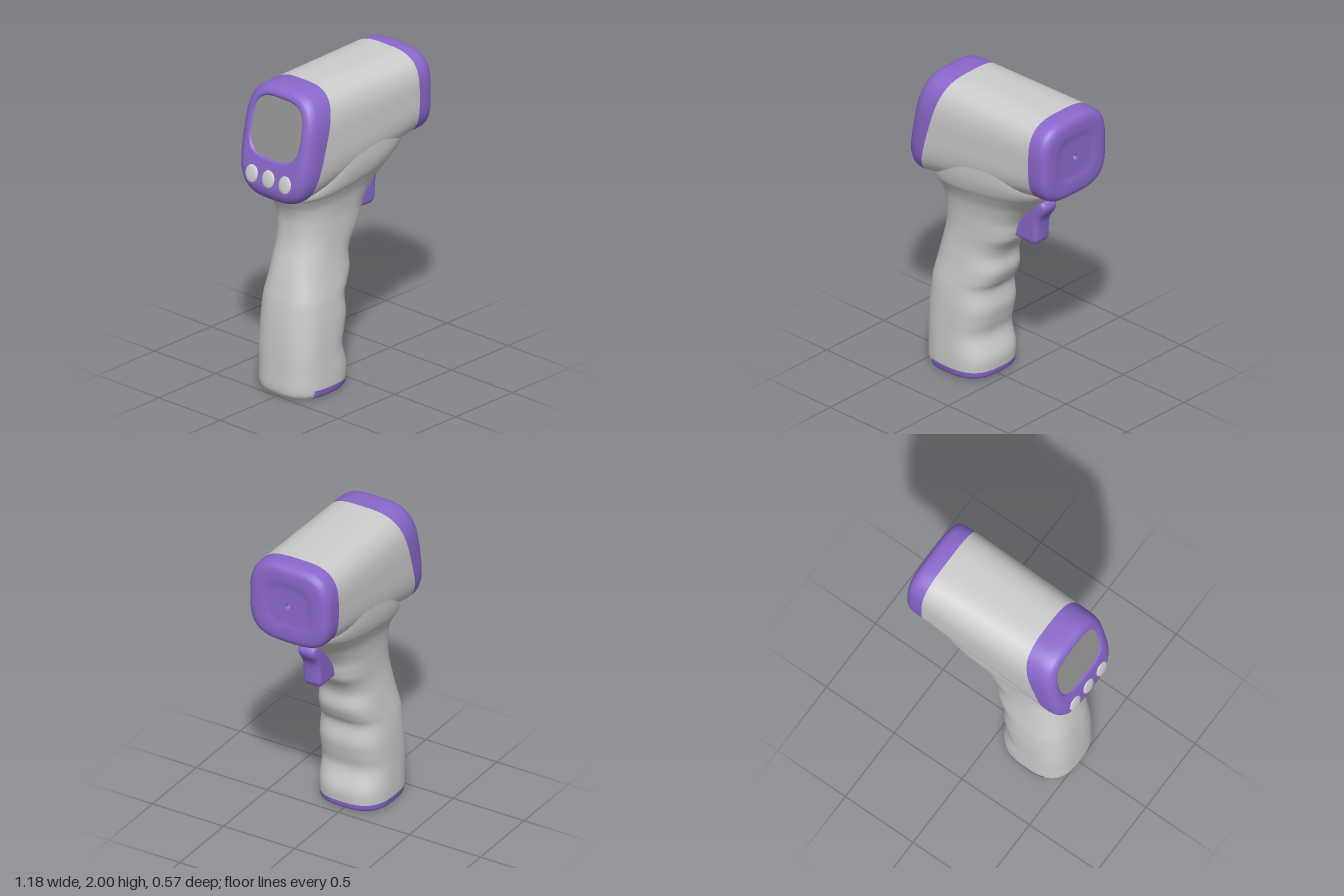
import * as THREE from 'three';
import { toCreasedNormals } from 'three/addons/utils/BufferGeometryUtils.js';

const SEG = 72;

// A ring is [x0, y0, x1, y1, halfWidth, exponent]: a superellipse spanning
// the line (x0,y0)-(x1,y1) in the xy plane and +-halfWidth in z.
function ringPoints([x0, y0, x1, y1, w, n]) {
  const pts = [];
  for (let j = 0; j < SEG; j++) {
    const t = (j / SEG) * Math.PI * 2, c = Math.cos(t), s = Math.sin(t);
    const r = Math.pow(Math.abs(c) ** n + Math.abs(s) ** n, -1 / n);
    const k = (1 + r * c) / 2;
    pts.push([x0 + (x1 - x0) * k, y0 + (y1 - y0) * k, w * r * s]);
  }
  return pts;
}

// Skin a list of rings, optionally closing the first and last ones
function loft(rings, capStart, capEnd, adjust = (p) => p) {
  const pos = [], index = [];
  rings.forEach((ring) => ringPoints(ring).forEach((p) => pos.push(...adjust(p))));
  const id = (i, j) => i * SEG + (j % SEG);
  for (let i = 0; i < rings.length - 1; i++) {
    for (let j = 0; j < SEG; j++) {
      index.push(id(i, j), id(i, j + 1), id(i + 1, j));
      index.push(id(i, j + 1), id(i + 1, j + 1), id(i + 1, j));
    }
  }
  const cap = (i, flip) => {
    const [x0, y0, x1, y1] = rings[i], c = pos.length / 3;
    pos.push(...adjust([(x0 + x1) / 2, (y0 + y1) / 2, 0]));
    for (let j = 0; j < SEG; j++) {
      if (flip) index.push(c, id(i, j + 1), id(i, j));
      else index.push(c, id(i, j), id(i, j + 1));
    }
  };
  if (capStart) cap(0, true);
  if (capEnd) cap(rings.length - 1, false);
  const g = new THREE.BufferGeometry();
  g.setAttribute('position', new THREE.Float32BufferAttribute(pos, 3));
  g.setIndex(index);
  g.computeVertexNormals();
  return g;
}

// Catmull-Rom interpolation between key rings
function smoothRings(keys, steps) {
  const out = [], last = keys.length - 1;
  for (let i = 0; i < last; i++) {
    const a = keys[Math.max(i - 1, 0)], b = keys[i], c = keys[i + 1], d = keys[Math.min(i + 2, last)];
    for (let s = 0; s < steps; s++) {
      const t = s / steps;
      out.push(b.map((v, k) => v + 0.5 * t * (c[k] - a[k] + t * (2 * a[k] - 5 * v + 4 * c[k] - d[k]
        + t * (3 * (v - c[k]) + d[k] - a[k])))));
    }
  }
  out.push(keys[last]);
  return out;
}

export function createModel() {
  const material = (name, color) => {
    const m = new THREE.MeshStandardMaterial({ color });
    m.name = name;
    return m;
  };
  const shell = material('light grey', 0xcccccc);
  const purple = material('purple', 0x8a67cb);
  const glass = material('screen grey', 0x949494);

  const model = new THREE.Group();
  model.name = 'infraredThermometer';
  const add = (name, geometry, mat) => {
    const mesh = new THREE.Mesh(geometry, mat);
    mesh.name = name;
    model.add(mesh);
    return mesh;
  };

  // Head barrel, slanted at the back and upright at the nose
  const backEdge = [-0.48, 1.288, -0.27, 2.0, 0.285, 3.3];
  const noseEdge = [0.455, 1.457, 0.455, 2.0, 0.284, 3.3];
  const barrel = [];
  for (let i = 0; i <= 8; i++) barrel.push(backEdge.map((v, k) => v + (noseEdge[k] - v) * i / 8));
  add('headBarrel', loft(barrel), shell);

  // Nose cap with a shallow dish and a sensor hole
  const nose = (x, inset, n = 3.3) => [x, 1.457 + inset, x, 2.0 - inset, 0.284 - inset, n];
  const hole = (x, r) => [x, 1.725 - r, x, 1.725 + r, r, 2];
  add('noseCap', loft([
    noseEdge, nose(0.5, 0), nose(0.535, 0.002), nose(0.557, 0.008), nose(0.572, 0.02), nose(0.581, 0.037),
    nose(0.585, 0.06), nose(0.585, 0.1), nose(0.583, 0.12), nose(0.578, 0.14), nose(0.576, 0.16),
    hole(0.576, 0.03), hole(0.575, 0.02), hole(0.571, 0.017), hole(0.54, 0.016),
  ], false, true), purple);

  // Rear bezel, from the recessed screen edge out to the barrel
  const screenEdge = [-0.538, 1.56, -0.457, 1.93, 0.2, 3.3];
  add('rearBezel', loft([
    screenEdge,
    [-0.547, 1.552, -0.462, 1.936, 0.203, 3.3],
    [-0.553, 1.543, -0.466, 1.944, 0.21, 3.3],
    [-0.584, 1.395, -0.464, 1.953, 0.225, 3.3],
    [-0.581, 1.355, -0.459, 1.966, 0.244, 3.3],
    [-0.57, 1.325, -0.448, 1.98, 0.261, 3.3],
    [-0.55, 1.303, -0.43, 1.991, 0.274, 3.3],
    [-0.525, 1.291, -0.4, 1.998, 0.282, 3.3],
    [-0.5, 1.287, -0.35, 2.0, 0.285, 3.3],
    backEdge,
  ]), purple);
  add('screen', loft([screenEdge], true), glass);

  // Three buttons under the screen
  for (const z of [-0.135, 0, 0.135]) {
    const button = add('button', new THREE.SphereGeometry(1, 24, 16), shell);
    button.scale.set(0.013, 0.056, 0.05);
    button.rotation.z = -0.213;
    button.position.set(-0.574, 1.44, z);
  }

  // Grip: rings run front to back, with finger grooves, flaring into the head
  const foot = [
    [-0.12, 0.004, -0.43, 0.004, 0.14, 2.8],
    [-0.065, 0.014, -0.485, 0.008, 0.205, 2.8],
    [-0.04, 0.03, -0.508, 0.025, 0.224, 2.8],
    [-0.033, 0.065, -0.517, 0.065, 0.231, 2.8],
  ];
  const grip = [
    ...foot,
    [-0.03, 0.15, -0.516, 0.15, 0.232, 2.8],
    [-0.066, 0.28, -0.514, 0.28, 0.23, 2.8],
    [-0.046, 0.38, -0.51, 0.38, 0.229, 2.8],
    [-0.027, 0.48, -0.503, 0.48, 0.226, 2.8],
    [-0.036, 0.6, -0.49, 0.6, 0.217, 2.8],
    [0.0, 0.67, -0.477, 0.67, 0.208, 2.8],
    [0.033, 0.75, -0.461, 0.75, 0.197, 2.7],
    [0.033, 0.85, -0.438, 0.85, 0.186, 2.6],
    [0.065, 0.925, -0.42, 0.925, 0.181, 2.6],
    [0.125, 1.0, -0.409, 1.0, 0.181, 2.6],
    [0.15, 1.06, -0.407, 1.07, 0.183, 2.6],
    [0.18, 1.15, -0.412, 1.14, 0.188, 2.6],
    [0.275, 1.275, -0.433, 1.205, 0.204, 2.6],
    [0.38, 1.37, -0.463, 1.262, 0.232, 2.7],
    [0.45, 1.445, -0.475, 1.305, 0.257, 2.9],
    [0.445, 1.52, -0.42, 1.41, 0.274, 3.2],
    [0.42, 1.66, -0.36, 1.56, 0.278, 3.3],
  ];
  add('grip', loft(smoothRings(grip, 5), true), shell);

  // Base plate wrapped over the foot, cut straight towards the back
  const wrap = ([x, y, z]) => [Math.max(-0.4, -0.275 + (x + 0.275) * 1.012), y - 0.003, z * 1.012];
  add('basePlate', loft(smoothRings(foot, 4), true, false, wrap), purple);

  // Trigger with rounded edges
  const s = new THREE.Shape();
  s.moveTo(0.1, 1.06);
  s.lineTo(0.265, 1.06);
  s.quadraticCurveTo(0.282, 1.06, 0.283, 1.08);
  s.bezierCurveTo(0.288, 1.2, 0.292, 1.22, 0.335, 1.275);
  s.quadraticCurveTo(0.357, 1.308, 0.34, 1.315);
  s.quadraticCurveTo(0.315, 1.318, 0.27, 1.27);
  s.quadraticCurveTo(0.15, 1.17, 0.1, 1.06);
  const trigger = new THREE.ExtrudeGeometry(s, {
    depth: 0.064, bevelEnabled: true, bevelThickness: 0.03, bevelSize: 0.03, bevelSegments: 6, curveSegments: 14,
  });
  trigger.translate(0, 0, -0.032);
  add('trigger', toCreasedNormals(trigger, 0.7), purple);

  return model;
}
